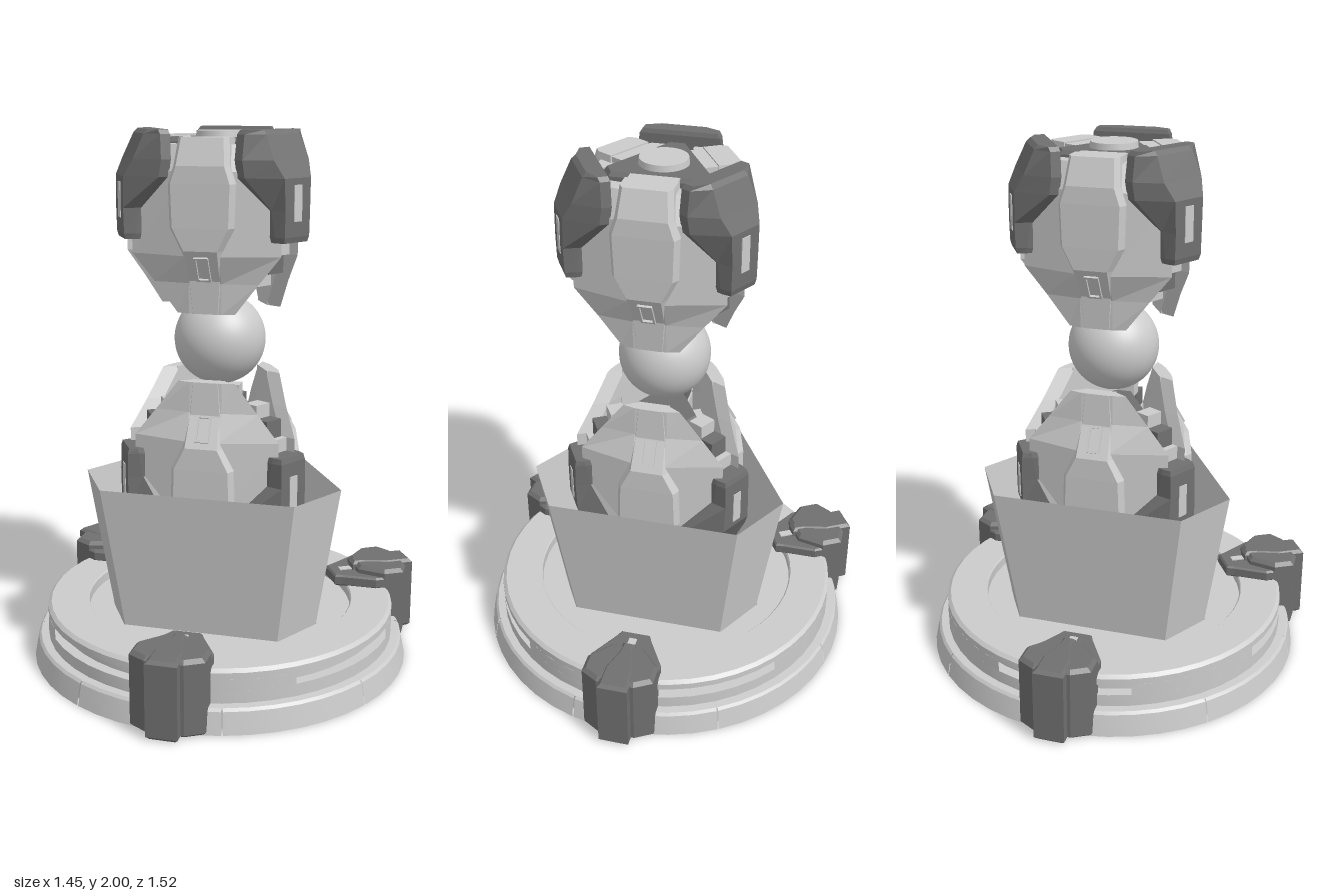
import * as THREE from 'three';
import { toCreasedNormals } from 'three/addons/utils/BufferGeometryUtils.js';

const light = new THREE.MeshStandardMaterial({ color: 0xcccccc });
const thin = new THREE.MeshStandardMaterial({ color: 0xcccccc, side: THREE.DoubleSide });
const dark = new THREE.MeshStandardMaterial({ color: 0x707070 });

function add(parent, name, geometry, material = light) {
  const mesh = new THREE.Mesh(geometry, material);
  mesh.name = name;
  parent.add(mesh);
  return mesh;
}

function box(parent, name, w, h, d, x, y, z, material) {
  const mesh = add(parent, name, new THREE.BoxGeometry(w, h, d), material);
  mesh.position.set(x, y, z);
  return mesh;
}

// Flat-shaded skin over rings of [x, z] points, rows going upward
function loft(rows, capTop = true) {
  const pos = [];
  const put = (row, j) => pos.push(row.ring[j][0], row.y, row.ring[j][1]);
  const n = rows[0].ring.length;
  for (let i = 0; i < rows.length - 1; i++) {
    const a = rows[i], b = rows[i + 1];
    for (let j = 0; j < n; j++) {
      const k = (j + 1) % n;
      put(a, j); put(a, k); put(b, k);
      put(a, j); put(b, k); put(b, j);
    }
  }
  const last = rows[rows.length - 1];
  for (let j = 1; j < n - 1; j++) {
    put(rows[0], 0); put(rows[0], j + 1); put(rows[0], j);
    if (capTop) { put(last, 0); put(last, j); put(last, j + 1); }
  }
  const g = new THREE.BufferGeometry();
  g.setAttribute('position', new THREE.Float32BufferAttribute(pos, 3));
  g.computeVertexNormals();
  return g;
}

// Triangle with cut corners: R to the corner flat, c half the flat's width
function triangle(R, c) {
  const ring = [];
  for (let i = 0; i < 3; i++) {
    const a = i * Math.PI * 2 / 3;
    for (const t of [-c, c]) {
      ring.push([R * Math.sin(a) + t * Math.cos(a), R * Math.cos(a) - t * Math.sin(a)]);
    }
  }
  return ring;
}

const toPoints = ring => ring.map(p => new THREE.Vector2(p[0], p[1]));

// Plan outline in (x, z) raised from y0 to y1
function plan(outline, y0, y1, bevel = 0, hole = null) {
  const shape = outline instanceof THREE.Shape ? outline : new THREE.Shape(toPoints(outline));
  if (hole) shape.holes.push(new THREE.Path(toPoints(hole)));
  const g = new THREE.ExtrudeGeometry(shape, {
    depth: y1 - y0 - 2 * bevel, bevelEnabled: bevel > 0, bevelSize: bevel,
    bevelOffset: -bevel, bevelThickness: bevel, bevelSegments: 1, curveSegments: 48,
  });
  return g.rotateX(Math.PI / 2).translate(0, y1 - bevel, 0);
}

const mirrorX = half => [...half, ...half.slice().reverse().map(([x, z]) => [-x, z])];

function lathe(profile, start = 0, length = Math.PI * 2, steps = 48) {
  const g = new THREE.LatheGeometry(toPoints(profile), steps, start, length);
  return toCreasedNormals(g, 0.5);
}

// Three copies around the axis; inside each, +z points outward
function aroundThree(parent, name, offset, build) {
  for (let i = 0; i < 3; i++) {
    const g = new THREE.Group();
    g.name = name;
    g.rotation.y = offset + i * Math.PI * 2 / 3;
    build(g);
    parent.add(g);
  }
}

function buildPetal(g) {
  // Swept-back wing plates: height, half width, depth at the rib, depth at the tip
  const wing = [[1.36, 0.105, 0.212, 0.2], [1.47, 0.19, 0.218, 0.2], [1.57, 0.27, 0.262, 0.206],
    [1.86, 0.27, 0.265, 0.206], [1.95, 0.2, 0.22, 0.18]];
  for (const s of [1, -1]) {
    add(g, 'petalWing', loft(wing.map(([y, w, d, tip]) => {
      const ring = [[0, d], [0.06, d], [w, tip], [w - 0.055, tip - 0.035], [0.045, 0.165], [0, 0.165]];
      return { y, ring: s > 0 ? ring : ring.map(([x, z]) => [-x, z]).reverse() };
    })));
  }
  const rib = [[1.36, 0.06, 0.214], [1.48, 0.07, 0.222], [1.59, 0.075, 0.283], [1.67, 0.115, 0.285],
    [1.82, 0.12, 0.285], [1.88, 0.1, 0.283], [1.975, 0.09, 0.25]];
  add(g, 'petalRib', loft(rib.map(([y, w, d]) => ({
    y, ring: [[-w, d - 0.025], [-w + 0.015, d], [w - 0.015, d], [w, d - 0.025], [w, 0.165], [-w, 0.165]],
  }))));
  box(g, 'petalMount', 0.17, 0.4, 0.08, 0, 1.77, 0.15);
  // Slot frame on the sloping lower face
  const frame = new THREE.Group();
  frame.name = 'petalSlot';
  frame.position.set(0, 1.525, 0.248);
  frame.rotation.x = 0.5;
  for (const s of [-1, 1]) {
    box(frame, 'slotSide', 0.008, 0.1, 0.016, s * 0.022, 0, 0);
    box(frame, 'slotEnd', 0.05, 0.008, 0.016, 0, s * 0.046, 0);
  }
  g.add(frame);
}

function buildClamp(g) {
  const rows = [[1.62, 0.06, 0.068, 0.365, 0.3], [1.64, 0.064, 0.072, 0.37, 0.295], [1.73, 0.064, 0.072, 0.372, 0.28],
    [1.84, 0.068, 0.152, 0.37, 0.228], [1.9, 0.09, 0.156, 0.34, 0.22], [1.985, 0.085, 0.145, 0.3, 0.22],
    [2, 0.08, 0.135, 0.285, 0.225]];
  add(g, 'clampCover', loft(rows.map(([y, wo, wi, d, di]) => ({
    y, ring: [[-wo, d], [wo, d], [wi, di + 0.035], [wi, di], [-wi, di], [-wi, di + 0.035]],
  }))), dark);
  box(g, 'clampSlot', 0.04, 0.125, 0.02, 0, 1.755, 0.364);
  box(g, 'clampMount', 0.09, 0.3, 0.15, 0, 1.72, 0.225);
  box(g, 'clampBlock', 0.076, 0.068, 0.09, 0, 1.537, 0.23, dark);
  box(g, 'clampFoot', 0.07, 0.05, 0.06, 0, 1.478, 0.19);
}

// One half of the column, clasping the ball from above
function buildClasp(name) {
  const g = new THREE.Group();
  g.name = name;
  add(g, 'core', loft([[1.47, 0.13, 0.03], [1.56, 0.2, 0.03], [1.955, 0.2, 0.03], [1.97, 0.19, 0.026]]
    .map(([y, R, c]) => ({ y, ring: triangle(R, c) }))), dark);
  const cap = add(g, 'coreCap', new THREE.CylinderGeometry(0.085, 0.09, 0.04, 32));
  cap.position.y = 1.972;
  aroundThree(g, 'petal', Math.PI / 3, buildPetal);
  aroundThree(g, 'clamp', 0, buildClamp);
  return g;
}

function buildRimClamp(g) {
  const bodyPlan = mirrorX([[0.06, 0.56], [0.135, 0.64], [0.135, 0.72], [0.07, 0.757]]);
  add(g, 'clampTop', plan(bodyPlan, 0.21, 0.287, 0.014), dark);
  add(g, 'clampNose', plan(mirrorX([[0.055, 0.462], [0.068, 0.49], [0.135, 0.605], [0.135, 0.68]]), 0.212, 0.257, 0.007), dark);
  add(g, 'clampLeg', plan(mirrorX([[0.135, 0.64], [0.135, 0.72], [0.07, 0.757]]), 0.005, 0.27, 0.008), dark);
  add(g, 'clampSpine', plan(mirrorX([[0.024, 0.55], [0.028, 0.6], [0.057, 0.69], [0.057, 0.793]]), 0, 0.292, 0.012), dark);
  box(g, 'clampSlot', 0.03, 0.01, 0.05, 0, 0.256, 0.525);
}

function buildBase() {
  const g = new THREE.Group();
  g.name = 'base';
  // Upper ring with a groove, filled in between four slots
  add(g, 'rim', lathe([[0.51, 0.1], [0.67, 0.09], [0.67, 0.138], [0.63, 0.138], [0.63, 0.18], [0.67, 0.18],
    [0.67, 0.204], [0.657, 0.216], [0.515, 0.216], [0.51, 0.21], [0.51, 0.1]]), thin);
  for (let i = 0; i < 4; i++) {
    add(g, 'grooveFill', lathe([[0.62, 0.138], [0.67, 0.138], [0.67, 0.18], [0.62, 0.18]],
      i * Math.PI / 2 + 0.39, Math.PI / 2 - 0.78, 8), thin);
  }
  // Skirt in eight sections, with a rib under each seam
  for (let i = 0; i < 8; i++) {
    const a = i * Math.PI / 4;
    add(g, 'skirt', lathe([[0.51, 0.09], [0.68, 0.03], [0.69, 0], [0.725, 0], [0.709, 0.08],
      [0.7, 0.09], [0.66, 0.092]], a + 0.004, Math.PI / 4 - 0.008, 6), thin);
    const rib = box(g, 'skirtRib', 0.13, 0.07, 0.17, Math.sin(a) * 0.61, 0.045, Math.cos(a) * 0.61);
    rib.rotation.y = a;
  }
  // Recessed disc with a triangular opening for the pot
  const disc = new THREE.Shape();
  disc.absarc(0, 0, 0.515, 0, Math.PI * 2);
  add(g, 'disc', plan(disc, 0.085, 0.175, 0, triangle(0.405, 0.11)));
  for (const [R, c, y0] of [[0.38, 0.1, 0.05], [0.22, 0.05, 0.06], [0.12, 0.025, 0.065]]) {
    add(g, 'undersideFrame', plan(triangle(R, c), y0, 0.09, 0, triangle(R * 0.82, c * 0.82)));
  }
  aroundThree(g, 'rimClamp', Math.PI / 3, buildRimClamp);
  return g;
}

export function createModel() {
  const model = new THREE.Group();
  model.name = 'pedestal';
  const axis = new THREE.Group();
  axis.name = 'assembly';
  axis.position.z = 0.033;
  model.add(axis);

  axis.add(buildBase());
  // Flared pot, open at the top
  add(axis, 'pot', loft([{ y: 0.09, ring: triangle(0.388, 0.106) }, { y: 0.72, ring: triangle(0.49, 0.13) }], false), thin);

  const ball = add(axis, 'ball', new THREE.SphereGeometry(0.17, 48, 32));
  ball.position.y = 1.235;

  axis.add(buildClasp('upperClasp'));
  // The lower clasp is the upper one turned over about the ball
  const lower = buildClasp('lowerClasp');
  lower.rotation.z = Math.PI;
  lower.position.y = 2.47;
  axis.add(lower);
  return model;
}
